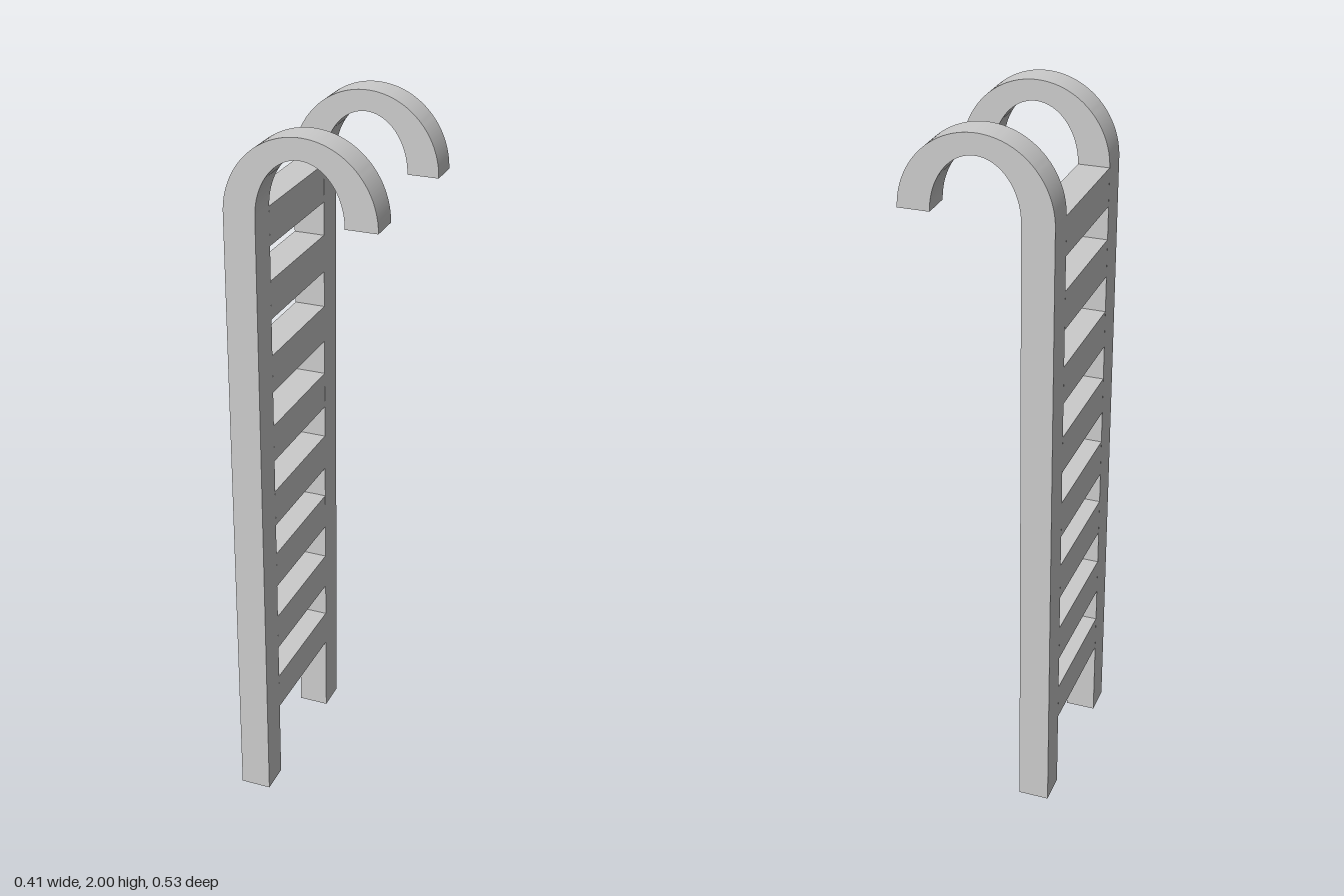
import * as THREE from 'three';
import { toCreasedNormals } from 'three/addons/utils/BufferGeometryUtils.js';

const SPRING_Y = 1.785; // height where the hooks begin
const OUTER_X = 0.206, INNER_X = 0.119;
const RAIL_DEPTH = 0.088, RAIL_Z = 0.222;
const RUNG_HEIGHT = 0.107;
const RUNG_TOPS = [0.345, 0.553, 0.763, 0.963, 1.165, 1.372, 1.583, 1.785];

// Side rail: straight post that curls over into a half-ellipse hook
function railGeometry() {
  const s = new THREE.Shape();
  s.moveTo(-OUTER_X, 0);
  s.lineTo(-OUTER_X, SPRING_Y);
  s.absellipse(0, SPRING_Y, OUTER_X, 0.215, Math.PI, 0, true);
  s.lineTo(INNER_X, SPRING_Y);
  s.absellipse(0, SPRING_Y, INNER_X, 0.158, 0, Math.PI, false);
  s.lineTo(-INNER_X, 0);
  s.closePath();
  const geo = new THREE.ExtrudeGeometry(s, { depth: RAIL_DEPTH, bevelEnabled: false, curveSegments: 32 });
  geo.translate(0, 0, -RAIL_DEPTH / 2);
  return toCreasedNormals(geo, 0.6);
}

export function createModel() {
  const group = new THREE.Group();
  const material = new THREE.MeshStandardMaterial({ color: 0xcccccc });

  // Two hooked rails, very slightly offset from each other
  const railGeo = railGeometry();
  for (const side of [1, -1]) {
    const rail = new THREE.Mesh(railGeo, material);
    rail.name = side > 0 ? 'frontRail' : 'backRail';
    rail.position.set(-0.0015 * side, 0, RAIL_Z * side - 0.001);
    group.add(rail);
  }

  // Flat rungs as deep as the rails, following their offset
  const rungGeo = new THREE.BoxGeometry(OUTER_X - INNER_X, RUNG_HEIGHT, 2 * RAIL_Z - RAIL_DEPTH);
  RUNG_TOPS.forEach((top, i) => {
    const rung = new THREE.Mesh(rungGeo, material);
    rung.name = `rung${i + 1}`;
    rung.position.set(-(OUTER_X + INNER_X) / 2, top - RUNG_HEIGHT / 2, -0.001);
    rung.rotation.y = -0.008;
    group.add(rung);
  });

  return group;
}
